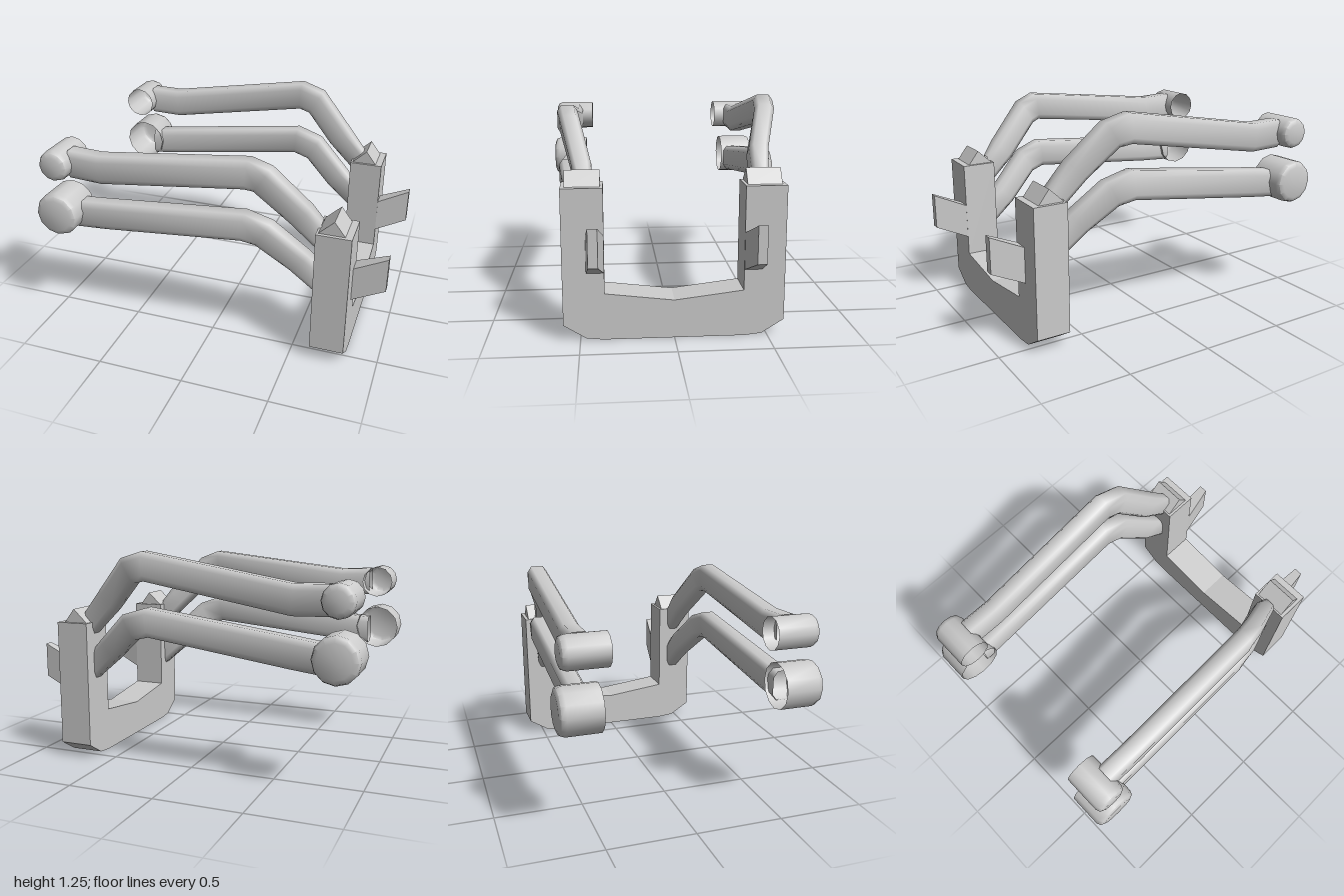
import * as THREE from 'three';
import { toCreasedNormals } from 'three/addons/utils/BufferGeometryUtils.js';

const grey = new THREE.MeshStandardMaterial({ color: 0xcccccc, side: THREE.DoubleSide });
const flatGrey = new THREE.MeshStandardMaterial({ color: 0xcccccc, flatShading: true });

function add(group, name, geometry, material) {
  const mesh = new THREE.Mesh(geometry, material);
  mesh.name = name;
  group.add(mesh);
  return mesh;
}

function shapeOf(points) {
  return new THREE.Shape(points.map(([x, y]) => new THREE.Vector2(x, y)));
}

// U-shaped frame: (z, y) outline extruded along x
function frameGeometry() {
  const half = [[0.38, 0], [0.47, 0.01], [0.59, 0.085], [0.59, 0.82], [0.37, 0.82], [0.37, 0.255]];
  const other = half.map(([z, y]) => [-z, y]).reverse();
  const g = new THREE.ExtrudeGeometry(shapeOf([...half, [0, 0.21], ...other]), { depth: 0.195, bevelEnabled: false });
  g.rotateY(Math.PI / 2);
  g.translate(0.62, 0, 0);
  return g;
}

// Triangular block on top of each post
function wedgeGeometry(side) {
  const g = new THREE.ExtrudeGeometry(shapeOf([[0.625, 0.815], [0.78, 0.815], [0.715, 0.9]]),
    { depth: 0.185, bevelEnabled: false });
  g.translate(0, 0, side > 0 ? 0.385 : -0.57);
  return g;
}

// Tapered, upward-slanting prong: a box with its outer end moved
function prongGeometry(side) {
  const g = new THREE.BoxGeometry(1, 1, 1);
  const p = g.attributes.position;
  for (let i = 0; i < p.count; i++) {
    const tip = p.getX(i) > 0;
    const y = (tip ? 0.555 : 0.468) + p.getY(i) * 0.203;
    const z = side * (tip ? 0.425 : 0.418) + p.getZ(i) * (tip ? 0.05 : 0.095);
    p.setXYZ(i, tip ? 1 : 0.81, y, z);
  }
  g.computeVertexNormals();
  return g;
}

// Hollow end cup: inner end open, outer end closed with a rounded rim
function cupGeometry(radius, inner, outer) {
  const r = 0.035;
  const points = [[radius, inner], [radius, outer - r], [radius - 0.01, outer - 0.01],
    [radius - r, outer], [0, outer]].map(([x, y]) => new THREE.Vector2(x, y));
  return toCreasedNormals(new THREE.LatheGeometry(points, 12), 0.85);
}

// Bent arm: chamfered box section swept along [x, y, z, half height, half width]
function armGeometry(path, side) {
  const section = [[1, 0.6], [0.6, 1], [-0.6, 1], [-1, 0.6], [-1, -0.6], [-0.6, -1], [0.6, -1], [1, -0.6]];
  const n = section.length, positions = [], index = [];
  path.forEach(([x, y, z, h, w], i) => {
    const a = path[Math.max(i - 1, 0)], b = path[Math.min(i + 1, path.length - 1)];
    const end = i === 0 || i === path.length - 1;
    const angle = end ? 0 : (Math.atan2(y - a[1], x - a[0]) + Math.atan2(b[1] - y, b[0] - x)) / 2;
    for (const [u, v] of section) {
      positions.push(x - Math.sin(angle) * v * h, y + Math.cos(angle) * v * h, side * (z + u * w));
    }
  });
  for (let i = 0; i < path.length - 1; i++) {
    for (let j = 0; j < n; j++) {
      const a = i * n + j, b = i * n + (j + 1) % n, c = a + n, d = b + n;
      if (side > 0) index.push(a, b, c, b, d, c);
      else index.push(a, c, b, b, c, d);
    }
  }
  const g = new THREE.BufferGeometry();
  g.setAttribute('position', new THREE.Float32BufferAttribute(positions, 3));
  g.setIndex(index);
  g.computeVertexNormals();
  return g;
}

// Arm centre line from its heights at the end, bends and post
function armPath(bends, endX) {
  const [start, knee, top, shoulder, end] = bends;
  const t = (0.52 - shoulder[0]) / (endX - shoulder[0]);
  const midY = shoulder[1] + (end - shoulder[1]) * t;
  return [
    [-0.81, start, 0.567, 0.083, 0.058],
    [-0.62, knee, 0.567, 0.084, 0.058],
    [...top, 0.567, 0.083, 0.058],
    [...shoulder, 0.55, 0.08, 0.057],
    [0.52, midY, 0.485, 0.074, 0.055],
    [endX, end, 0.47, 0.092, 0.042],
  ];
}

export function createModel() {
  const model = new THREE.Group();
  model.name = 'armFrame';
  add(model, 'frame', frameGeometry(), flatGrey);

  for (const side of [1, -1]) {
    const label = side > 0 ? 'left' : 'right';
    add(model, label + 'PostWedge', wedgeGeometry(side), flatGrey);
    add(model, label + 'Prong', prongGeometry(side), flatGrey);

    // The arms on the right rise slightly higher
    const upper = side > 0
      ? armPath([1.02, 1.01, [0.24, 1.11], [0.32, 1.08], 0.75], 0.635)
      : armPath([1.02, 1.015, [0.24, 1.163], [0.345, 1.135], 0.775], 0.69);
    const lower = side > 0
      ? armPath([0.705, 0.718, [0.22, 0.795], [0.33, 0.758], 0.475], 0.635)
      : armPath([0.71, 0.735, [0.22, 0.85], [0.345, 0.815], 0.56], 0.635);
    add(model, label + 'UpperArm', armGeometry(upper, side), grey);
    add(model, label + 'LowerArm', armGeometry(lower, side), grey);

    const cups = [['Upper', 1.025, 0.092, 0.44, 0.69], ['Lower', 0.73, 0.13, 0.49, 0.713]];
    for (const [level, y, radius, inner, outer] of cups) {
      const cup = add(model, label + level + 'Cup', cupGeometry(radius, inner, outer), grey);
      cup.rotation.x = side * Math.PI / 2;
      cup.position.set(-0.87, y, 0);
    }
  }
  return model;
}
